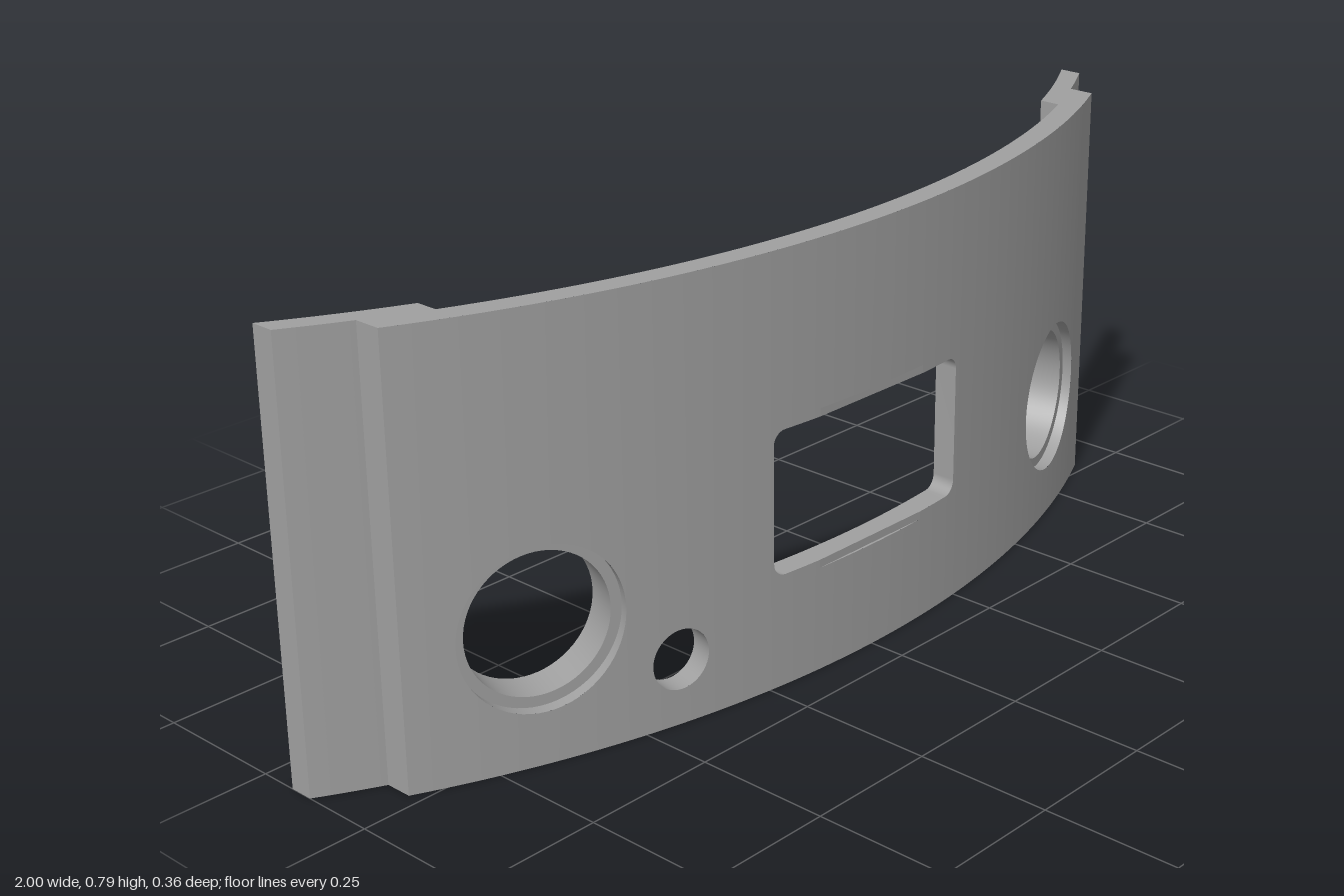
import * as THREE from 'three';
import { mergeGeometries, mergeVertices } from 'three/addons/utils/BufferGeometryUtils.js';

const H = 0.79;                         // panel height
const CZ = -1.85;                       // z of the axis the panel bends around
const FRONT = 2.03, BACK = 1.985, FLANGE = 1.947; // concentric radii
const BODY_X = 0.89, STEP_X = 0.78, END_X = 1;
const POCKET_Z = 0.1755;                // flat recess around the window
const POCKET_X = Math.sqrt(FRONT ** 2 - (POCKET_Z - CZ) ** 2);
const POCKET_HALF = 0.1475;

const arcZ = (r, x) => Math.sqrt(r * r - x * x) + CZ;
const range = (n, f) => Array.from({ length: n + 1 }, (_, i) => f(i / n));

// Smooth surface from a list of quads, each four [x, y, z] corners
function surface(quads) {
  const pos = [];
  for (const [a, b, c, d] of quads) pos.push(...a, ...b, ...c, ...a, ...c, ...d);
  const raw = new THREE.BufferGeometry();
  raw.setAttribute('position', new THREE.Float32BufferAttribute(pos, 3));
  const g = mergeVertices(raw, 1e-5);
  g.computeVertexNormals();
  return g.toNonIndexed();
}

// Band of quads between two matching rows of points
const band = (A, B) => surface(A.slice(1).map((p, i) => [A[i], p, B[i + 1], B[i]]));

// Round hole with its axis pointing along the radius at surface position x
function roundHole(x, y, radius) {
  const a = Math.asin(x / FRONT), s = Math.sin(a), c = Math.cos(a);
  const ts = range(32, k => -radius * Math.cos(Math.PI * k));
  return {
    y, ts,
    place: (t, v, d) => [d * s + t * c, y + v, d * c - t * s + CZ],
    xs: r => ts.map(t => Math.sqrt(r * r - t * t) * s + t * c),
    halfT: t => Math.sqrt(Math.max(0, radius ** 2 - t * t)),
    half(px, mid, r) { return this.halfT(px * c - (arcZ(r, px) - CZ) * s); },
  };
}

// Rounded window, cut straight through along z
function windowHole(halfW, halfH, corner, y) {
  const side = range(8, k => halfW - corner + corner * Math.sin(k * Math.PI / 2));
  const ts = [...side.map(v => -v).reverse(), ...range(16, k => (2 * k - 1) * 0.2), -POCKET_X, POCKET_X, ...side]
    .sort((p, q) => p - q);
  const halfT = t => {
    const e = Math.max(0, Math.abs(t) - halfW + corner);
    return halfH - corner + Math.sqrt(Math.max(0, corner ** 2 - e * e));
  };
  return {
    y, ts, halfT,
    place: (t, v, d) => [t, y + v, d + CZ],
    xs: () => ts,
    half: (px, mid, r) => (r === FRONT && Math.abs(mid) < POCKET_X ? POCKET_HALF : halfT(px)),
  };
}

// Closed outline of a hole at a depth given by a function of t
function loop(hole, depth) {
  const low = hole.ts.map(t => hole.place(t, -hole.halfT(t), depth(t)));
  const high = hole.ts.map(t => hole.place(t, hole.halfT(t), depth(t))).reverse();
  return [...low, ...high, low[0]];
}
const onArc = r => t => Math.sqrt(r * r - t * t);

// Curved sheet of radius r between x0 and x1, made of columns that skip the holes
function sheet(r, x0, x1, holes, backward) {
  const spans = holes.map(h => { const x = h.xs(r); return [x[0], x[x.length - 1]]; });
  const all = [...range(64, k => x0 + (x1 - x0) * k), ...holes.flatMap(h => h.xs(r))].sort((a, b) => a - b);
  const xs = all.filter((x, i) => i === 0 || x - all[i - 1] > 1e-6);
  const quads = [];
  for (let i = 1; i < xs.length; i++) {
    const a = xs[i - 1], b = xs[i], mid = (a + b) / 2;
    let la = 0, lb = 0;
    const add = (ha, hb) => {
      const q = [[a, la, arcZ(r, a)], [b, lb, arcZ(r, b)], [b, hb, arcZ(r, b)], [a, ha, arcZ(r, a)]];
      quads.push(backward ? q.reverse() : q);
    };
    holes.filter((h, k) => mid > spans[k][0] && mid < spans[k][1]).sort((p, q) => p.y - q.y).forEach(h => {
      const ea = h.half(a, mid, r), eb = h.half(b, mid, r);
      add(h.y - ea, h.y - eb);
      la = h.y + ea; lb = h.y + eb;
    });
    add(H, H);
  }
  return surface(quads);
}

// Flat upright face at constant x, from zA to zB
const upright = (x, zA, zB) => surface([[[x, 0, zA], [x, 0, zB], [x, H, zB], [x, H, zA]]]);

// Horizontal cap with the panel's stepped cross-section
function cap(top) {
  const row = (r, a, b) => range(48, k => { const x = a + (b - a) * k; return [x, arcZ(r, x)]; });
  const pts = [
    ...row(BACK, -END_X, -BODY_X), ...row(FRONT, -BODY_X, BODY_X), ...row(BACK, BODY_X, END_X),
    ...row(FLANGE, END_X, STEP_X), ...row(BACK, STEP_X, -STEP_X), ...row(FLANGE, -STEP_X, -END_X),
  ];
  const g = new THREE.ShapeGeometry(new THREE.Shape(pts.map(([x, z]) => new THREE.Vector2(x, top ? -z : z))));
  g.rotateX(top ? -Math.PI / 2 : Math.PI / 2).translate(0, top ? H : 0, 0);
  g.deleteAttribute('uv');
  return g.toNonIndexed();
}

export function createModel() {
  const group = new THREE.Group();
  const grey = new THREE.MeshStandardMaterial({ color: 0xa0a0a0 });
  grey.name = 'grey';
  const add = (name, parts) => {
    const mesh = new THREE.Mesh(mergeGeometries(parts), grey);
    mesh.name = name;
    group.add(mesh);
  };

  const HX = 0.672, HY = 0.2425;
  const sides = [-1, 1];
  const bores = sides.map(s => roundHole(s * HX, HY, 0.147));
  const throughs = sides.map(s => roundHole(s * HX, HY, 0.1275));
  const collars = sides.map(s => roundHole(s * HX, HY, 0.175));
  const small = roundHole(-0.432, 0.12, 0.055);
  const win = windowHole(0.24, 0.1325, 0.025, 0.3425);

  // Curved body
  add('frontSurface', [sheet(FRONT, -BODY_X, BODY_X, [...bores, small, win], false)]);
  add('backSurface', [sheet(BACK, -STEP_X, STEP_X, [...throughs, small, win], true)]);
  add('topEdge', [cap(true)]);
  add('bottomEdge', [cap(false)]);

  // Stepped flanges at both ends
  for (const s of sides) {
    const [f0, f1] = [s * BODY_X, s * END_X].sort((a, b) => a - b);
    const [b0, b1] = [s * STEP_X, s * END_X].sort((a, b) => a - b);
    const face = (x, rOut, rIn, dir) => {
      const z = [arcZ(rOut, x), arcZ(rIn, x)];
      return dir > 0 ? upright(x, z[0], z[1]) : upright(x, z[1], z[0]);
    };
    add(s > 0 ? 'leftFlange' : 'rightFlange', [
      sheet(BACK, f0, f1, [], false),
      sheet(FLANGE, b0, b1, [], true),
      face(f0 === s * BODY_X ? f0 : f1, FRONT, BACK, s),
      face(s * END_X, BACK, FLANGE, s),
      face(s * STEP_X, BACK, FLANGE, -s),
    ]);
  }

  // Counterbored openings with a raised collar behind
  const LEDGE = () => 2.007, REAR = () => 1.936, ROOT = () => BACK;
  sides.forEach((s, i) => {
    const loops = [
      loop(bores[i], onArc(FRONT)), loop(bores[i], LEDGE),
      loop(throughs[i], LEDGE), loop(throughs[i], REAR),
      loop(collars[i], REAR), loop(collars[i], ROOT),
    ];
    add(s > 0 ? 'leftCollar' : 'rightCollar', loops.slice(1).map((l, k) => band(loops[k], l)));
  });

  // Small hole and window walls
  add('smallHoleWall', [band(loop(small, onArc(FRONT)), loop(small, onArc(BACK)))]);
  const winFront = t => Math.min(onArc(FRONT)(t), POCKET_Z - CZ);
  add('windowWall', [band(loop(win, winFront), loop(win, onArc(BACK)))]);

  // Shallow flat recess above and below the window
  const recess = [];
  for (const s of sides) {
    const y = win.y + s * POCKET_HALF;
    const xs = range(16, k => -s * (2 * k - 1) * POCKET_X);
    recess.push(band(xs.map(x => [x, y, arcZ(FRONT, x)]), xs.map(x => [x, y, POCKET_Z])));
    const inner = win.y + s * 0.1325, lo = Math.min(y, inner), hi = Math.max(y, inner);
    recess.push(surface([[[-POCKET_X, lo, POCKET_Z], [POCKET_X, lo, POCKET_Z], [POCKET_X, hi, POCKET_Z], [-POCKET_X, hi, POCKET_Z]]]));
  }
  add('windowRecess', recess);
  return group;
}
